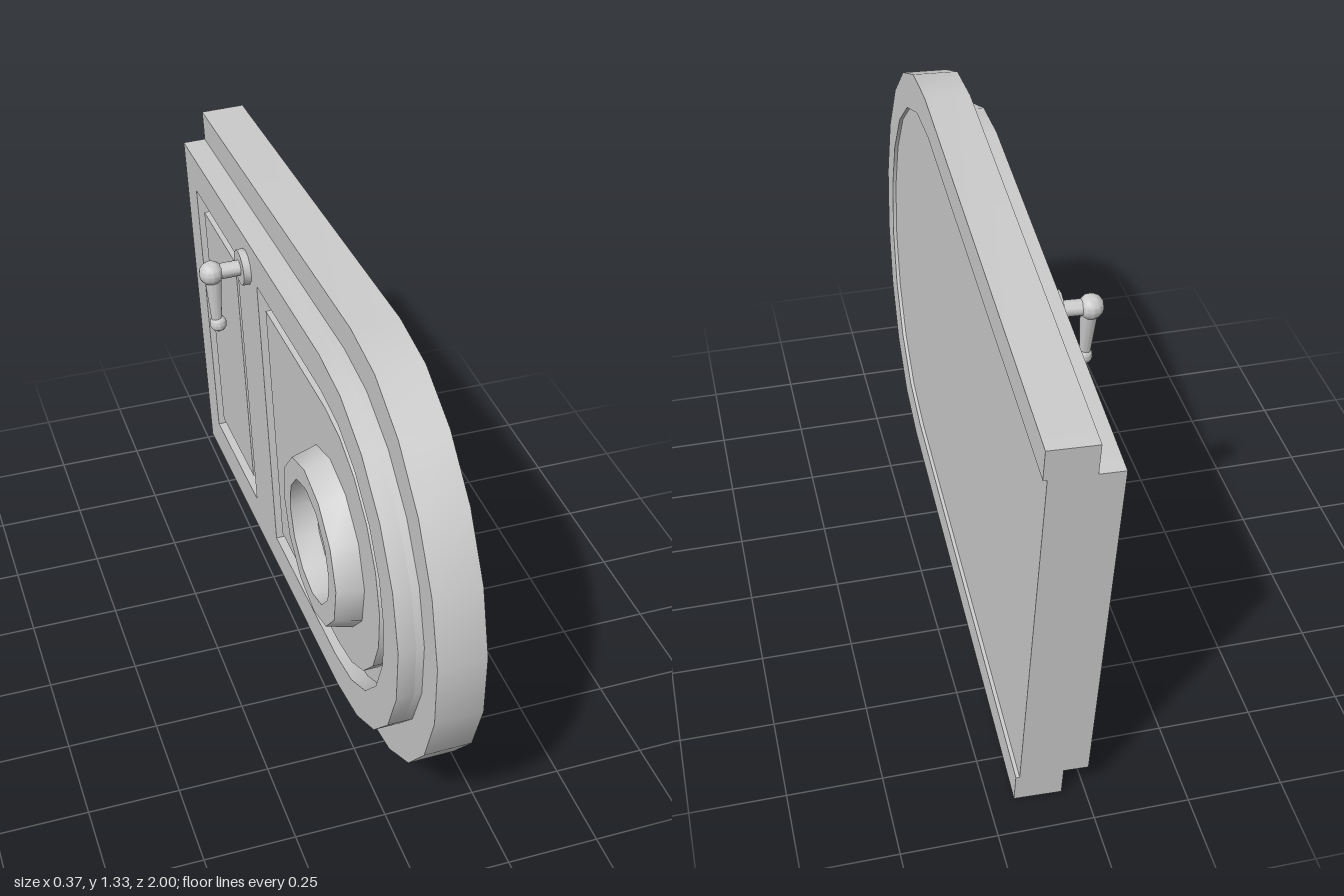
import * as THREE from 'three';
import { toCreasedNormals } from 'three/addons/utils/BufferGeometryUtils.js';

// Working frame: X runs along the door to its arched end, Y across its width, Z out of its decorated face.
const material = new THREE.MeshStandardMaterial({ color: 0xcccccc });
const END = -0.896;

// Outline with a straight end at `end` and a half-ellipse of ten segments at the other.
function archPoints(end, centre, radiusX, radiusY) {
  const points = [new THREE.Vector2(end, -radiusY)];
  for (let i = 0; i <= 10; i++) {
    const a = -Math.PI / 2 + (i * Math.PI) / 10;
    points.push(new THREE.Vector2(centre + radiusX * Math.cos(a), radiusY * Math.sin(a)));
  }
  points.push(new THREE.Vector2(end, radiusY));
  return points;
}

function rectPoints(x0, x1, halfY) {
  return [[x0, -halfY], [x1, -halfY], [x1, halfY], [x0, halfY]].map(p => new THREE.Vector2(...p));
}

export function createModel() {
  const model = new THREE.Group();
  model.name = 'archedDoor';

  const add = (name, geometry, x = 0, y = 0, z = 0) => {
    const mesh = new THREE.Mesh(toCreasedNormals(geometry, 0.6), material);
    mesh.name = name;
    mesh.position.set(x, y, z);
    model.add(mesh);
    return mesh;
  };
  const slab = (name, points, z0, z1, holes = []) => {
    const shape = new THREE.Shape(points);
    shape.holes = holes.map(h => new THREE.Path(h));
    const geometry = new THREE.ExtrudeGeometry(shape, { depth: z1 - z0, bevelEnabled: false });
    return add(name, geometry, 0, 0, z0);
  };

  // Surround: U-shaped band open at the straight end
  const outer = archPoints(END, 0.508, 0.555, 0.61);
  const inner = archPoints(END, 0.45, 0.527, 0.523);
  slab('doorSurround', [...outer, ...inner.slice().reverse()], -0.125, 0);

  // Door leaf: solid core, then a face layer with two sunken fields
  const face = 0.065, floor = 0.02;
  slab('doorCore', inner, -0.115, floor);
  slab('doorFace', inner, floor, face, [
    rectPoints(-0.78, -0.33, 0.415),
    archPoints(-0.12, 0.45, 0.425, 0.42),
  ]);

  // Raised panels inside the sunken fields
  slab('lowerPanel', rectPoints(-0.73, -0.38, 0.365), floor, face - 0.007);
  slab('upperPanel', archPoints(-0.07, 0.45, 0.375, 0.37), floor, face - 0.007);

  // Round window trim with a tapered outer wall
  const trim = [[0.24, 0], [0.222, 0.068], [0.165, 0.068], [0.165, 0]];
  add('windowRing', new THREE.LatheGeometry(trim.map(p => new THREE.Vector2(...p)), 12).rotateX(Math.PI / 2),
    0.472, -0.008, face - 0.007);

  // Handle: rose, stem, ball, tapered lever and end ball
  const hx = -0.22, hy = 0.434;
  const post = (name, r, z0, z1) =>
    add(name, new THREE.CylinderGeometry(r, r, z1 - z0, 12).rotateX(Math.PI / 2), hx, hy, (z0 + z1) / 2);
  post('handleRose', 0.05, face - 0.005, face + 0.021);
  post('handleStem', 0.022, face, face + 0.09);
  add('handleBall', new THREE.SphereGeometry(0.034, 12, 8), hx, hy, face + 0.1);
  add('handleLever', new THREE.CylinderGeometry(0.024, 0.014, 0.145, 12), hx, hy - 0.08, face + 0.096);
  add('handleTip', new THREE.SphereGeometry(0.024, 12, 8), hx, hy - 0.157, face + 0.093);

  // Lay the door on its side with a slight lean
  const along = new THREE.Vector3(-0.0143, 0.082, 0.9966).normalize();
  const out = along.clone().cross(new THREE.Vector3(-0.0327, 0.9966, -0.082)).normalize();
  const across = out.clone().cross(along);
  model.quaternion.setFromRotationMatrix(new THREE.Matrix4().makeBasis(along, across, out));
  model.position.set(0.027, 0.684, -0.056);

  const root = new THREE.Group();
  root.name = 'door';
  root.add(model);
  return root;
}
